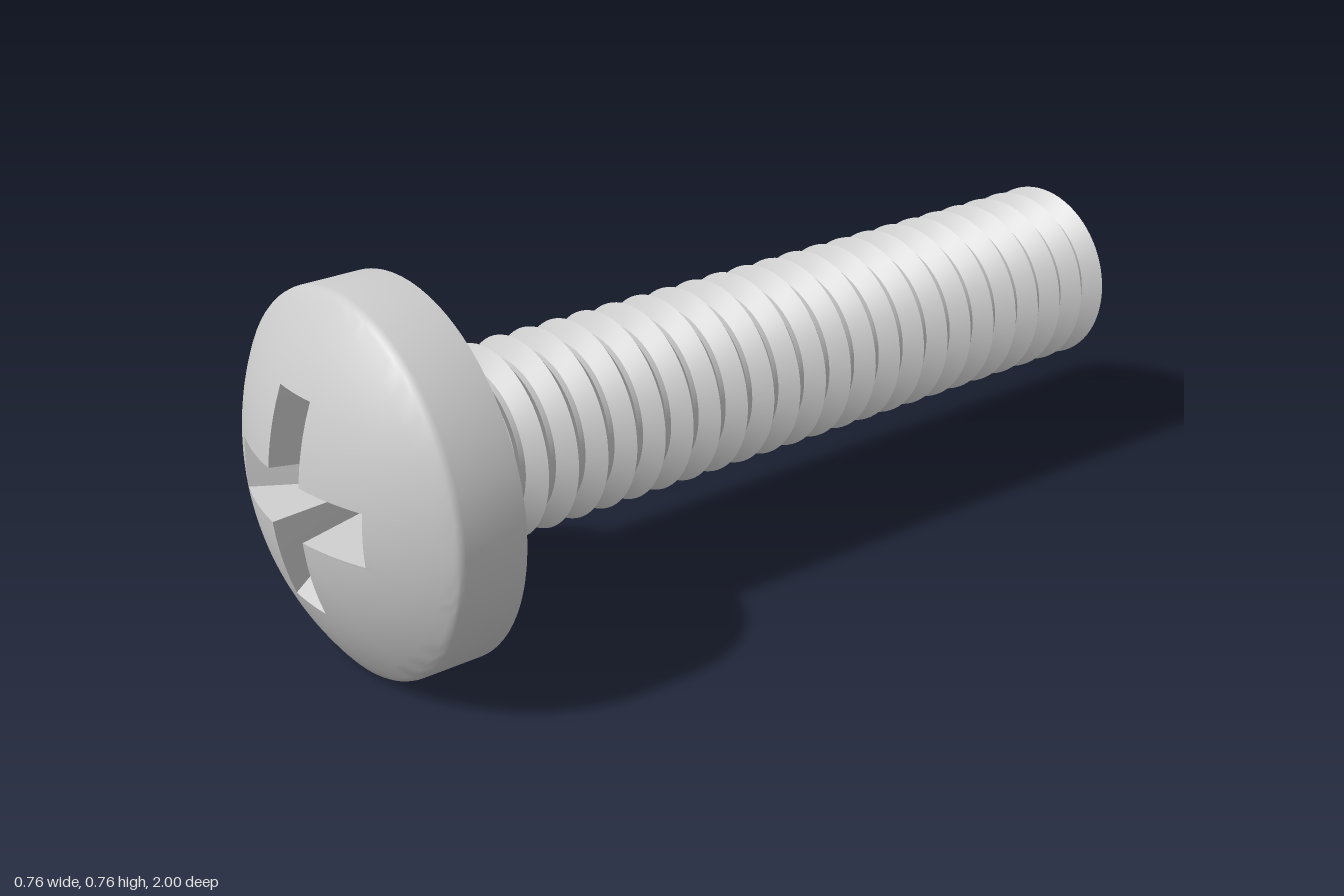
import * as THREE from 'three';
import { toCreasedNormals } from 'three/addons/utils/BufferGeometryUtils.js';

const material = new THREE.MeshStandardMaterial({ color: 0xcccccc, side: THREE.DoubleSide });
const AXIS_Y = 0.381;
const HEAD_R = 0.381, HEAD_BACK = 0.73;

// Height of the domed face at a distance from the axis
const domeZ = (r) => 1.004 - 0.6 + Math.sqrt(0.36 - r * r);

// Outline of the cross recess, each point paired with its place on the recess floor
function crossOutline() {
  const reach = 0.213, tip = 0.053, inner = 0.055, floor = 0.028;
  const sideSteps = 8, endSteps = 6;
  const side = [];
  for (let i = 0; i < sideSteps; i++) {
    const t = i / sideSteps;
    const x = inner * Math.pow(reach / inner, t);
    side.push([x, THREE.MathUtils.mapLinear(x, inner, reach, inner, tip)]);
  }
  const arm = side.map(([x, y]) => [x, -y, floor, -floor]);
  for (let i = 0; i <= endSteps; i++) {
    const s = (2 * i) / endSteps - 1;
    arm.push([reach, s * tip, floor, s * floor]);
  }
  for (let i = sideSteps - 1; i > 0; i--) arm.push([side[i][0], side[i][1], floor, floor]);

  const points = [];
  for (let k = 0; k < 4; k++) {
    for (const [x, y, fx, fy] of arm) {
      const turn = (a, b) => new THREE.Vector2(a, b).rotateAround(new THREE.Vector2(), (k * Math.PI) / 2);
      points.push({ top: turn(x, y), bottom: turn(fx, fy) });
    }
  }
  return points;
}

// Joins closed rings of points into a surface, leaving out collapsed triangles
function loftRings(rings) {
  const positions = [];
  const tri = new THREE.Triangle();
  const add = (a, b, c) => {
    tri.set(a, b, c);
    if (tri.getArea() > 1e-8) positions.push(...a.toArray(), ...b.toArray(), ...c.toArray());
  };
  for (let i = 0; i < rings.length - 1; i++) {
    const n = rings[i].length;
    for (let j = 0; j < n; j++) {
      const k = (j + 1) % n;
      add(rings[i][j], rings[i + 1][j], rings[i + 1][k]);
      add(rings[i][j], rings[i + 1][k], rings[i][k]);
    }
  }
  const geometry = new THREE.BufferGeometry();
  geometry.setAttribute('position', new THREE.Float32BufferAttribute(positions, 3));
  return geometry;
}

function headGeometry() {
  const outline = crossOutline();
  const floorZ = 0.76, domeEdge = 0.368, domeSteps = 10;
  const rings = [];

  // Recess floor and sloping recess walls
  rings.push(outline.map(() => new THREE.Vector3(0, 0, floorZ)));
  rings.push(outline.map(({ bottom }) => new THREE.Vector3(bottom.x, bottom.y, floorZ)));

  // Dome, from the recess outline to the rim
  for (let i = 0; i <= domeSteps; i++) {
    rings.push(outline.map(({ top }) => {
      const r = THREE.MathUtils.lerp(top.length(), domeEdge, i / domeSteps);
      const p = top.clone().setLength(r);
      return new THREE.Vector3(p.x, p.y, domeZ(r));
    }));
  }

  // Rounded rim, straight side and flat back
  const rim = [[0.375, 0.872], [0.379, 0.866], [HEAD_R, 0.858], [HEAD_R, HEAD_BACK], [0, HEAD_BACK]];
  for (const [r, z] of rim) {
    rings.push(outline.map(({ top }) => {
      const p = top.clone().normalize().multiplyScalar(r);
      return new THREE.Vector3(p.x, p.y, z);
    }));
  }
  return toCreasedNormals(loftRings(rings), 0.5);
}

// Shank with ring-shaped V threads and a plain collar below the head
function shankGeometry() {
  const crest = 0.195, root = 0.16, collarZ = 0.69, turns = 24;
  const pitch = (collarZ + 1) / (turns + 0.5), flat = 0.006;
  const profile = [[0, -1], [root, -1]];
  for (let i = turns; i >= 0; i--) {
    const z = collarZ - i * pitch;
    profile.push([root, z - pitch / 2 + flat], [crest, z]);
    if (i > 0) profile.push([root, z + pitch / 2 - flat]);
  }
  profile.push([crest, HEAD_BACK + 0.005]);
  const lathe = new THREE.LatheGeometry(profile.map(([r, z]) => new THREE.Vector2(r, z)), 72);
  lathe.rotateX(Math.PI / 2);
  return toCreasedNormals(lathe, 0.5);
}

export function createModel() {
  const model = new THREE.Group();
  model.name = 'machineScrew';
  const parts = { crossRecessHead: headGeometry(), threadedShank: shankGeometry() };
  for (const [name, geometry] of Object.entries(parts)) {
    const mesh = new THREE.Mesh(geometry, material);
    mesh.name = name;
    mesh.position.y = AXIS_Y;
    model.add(mesh);
  }
  return model;
}
